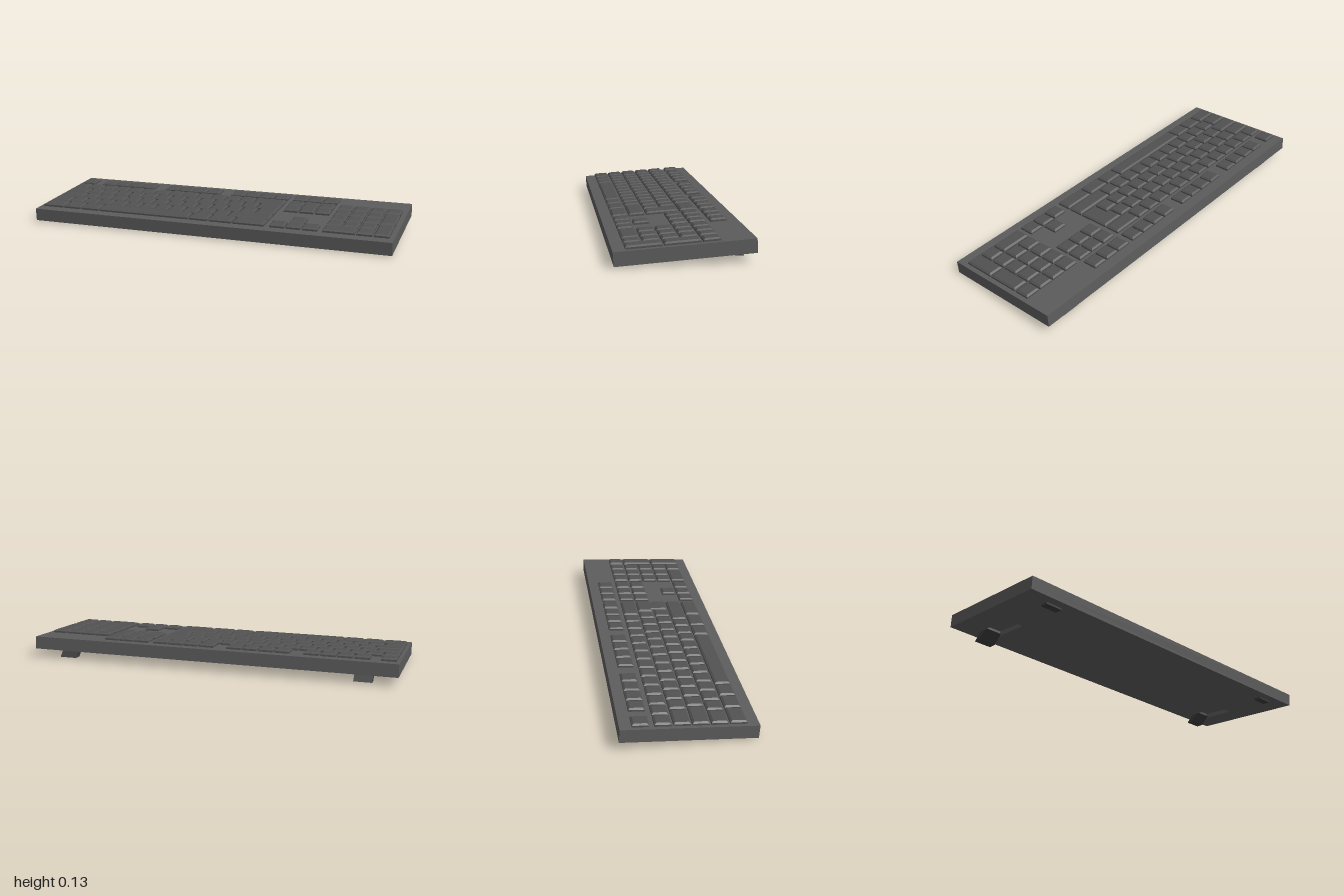
import * as THREE from 'three';

const material = (color) => new THREE.MeshStandardMaterial({ color, flatShading: true });
const caseMat = material(0x5c5c5c);
const keyMat = material(0x525252);
const footMat = material(0x3c3c3c);

const W = 2, D = 0.66, H = 0.068, POCKET = 0.025; // case size and depth of the foot pockets
const TILT = Math.atan(0.042 / 0.658);
const UNIT = 0.0875, LEFT = -0.985;               // key pitch and left edge of the key field
const ROW = 0.0895, BACK = -0.172, GAP = 0.0045;  // row pitch, back edge of the main rows, half gap

function add(parent, geometry, mat, name, x = 0, y = 0, z = 0) {
  const mesh = new THREE.Mesh(geometry, mat);
  mesh.name = name;
  mesh.position.set(x, y, z);
  parent.add(mesh);
}

// Closed outline on the ground plane, from [x, z] pairs
const outline = (points) => new THREE.Shape(points.map(([x, z]) => new THREE.Vector2(x, -z)));
const rect = (x0, z0, x1, z1) => [[x0, z0], [x0, z1], [x1, z1], [x1, z0]];

// Keycap with upright sides and a bevelled rim, sunk slightly into the case
function keycap(parent, points, name) {
  const geometry = new THREE.ExtrudeGeometry(outline(points), {
    depth: 0.013, bevelEnabled: true, bevelSegments: 1,
    bevelThickness: 0.007, bevelSize: 0.009, bevelOffset: -0.009,
  });
  geometry.rotateX(-Math.PI / 2);
  add(parent, geometry, keyMat, name, 0, 0.03, 0);
}

const colX = (u) => LEFT + u * UNIT;
const rowZ = (r) => BACK + r * ROW;

// Rectangular key: column and width in units, row and number of rows
function key(parent, u, w, r, rows, name) {
  keycap(parent, rect(colX(u) + GAP, rowZ(r) + GAP, colX(u + w) - GAP, rowZ(r + rows) - GAP), name);
}

// Run of neighbouring keys with the given widths
function keyRow(parent, u, r, widths, name) {
  for (const w of widths) {
    key(parent, u, w, r, 1, name);
    u += w;
  }
}

const ones = (n) => Array(n).fill(1);

export function createModel() {
  const model = new THREE.Group();
  model.name = 'keyboard';

  const body = new THREE.Group();
  body.name = 'tiltedBody';
  body.position.set(0, 0.062, 0.001);
  body.rotation.x = TILT;
  model.add(body);

  // Case: solid top over a bottom plate with two pockets for the folding feet
  add(body, new THREE.BoxGeometry(W, H - POCKET, D), caseMat, 'caseTop', 0, POCKET / 2, 0);
  const plate = outline(rect(-W / 2, -D / 2, W / 2, D / 2));
  for (const s of [-1, 1]) {
    plate.holes.push(outline(rect(s * 0.82 - 0.05, -0.22, s * 0.82 + 0.05, -0.03)));
  }
  const plateGeo = new THREE.ExtrudeGeometry(plate, { depth: POCKET, bevelEnabled: false });
  plateGeo.rotateX(-Math.PI / 2);
  add(body, plateGeo, caseMat, 'caseBottom', 0, -H / 2, 0);

  // Top row, set apart from the main rows
  const topRow = -1.17;
  key(body, 0, 1, topRow, 1, 'escapeKey');
  for (const u of [1.52, 6.28, 11]) keyRow(body, u, topRow, ones(4), 'topRowKey');
  keyRow(body, 15.25, topRow, ones(3), 'systemKey');

  // Main typing block
  keyRow(body, 0, 0, [...ones(13), 2], 'numberRowKey');
  keyRow(body, 0, 1, [1.5, ...ones(12)], 'upperRowKey');
  keyRow(body, 0, 2, [1.75, ...ones(12)], 'homeRowKey');
  keyRow(body, 0, 3, [1.3, ...ones(11), 2.7], 'lowerRowKey');
  keyRow(body, 0, 4, [1.5, 1.25, 1.25, 6.1, 1.3, 1.55, 2.05], 'bottomRowKey');

  // Stepped return key spanning two rows
  const x0 = colX(13.5) + GAP, x1 = colX(13.75) + GAP, x2 = colX(15) - GAP;
  const z0 = rowZ(1) + GAP, z1 = rowZ(2) - GAP, z2 = rowZ(3) - GAP;
  keycap(body, [[x0, z0], [x0, z1], [x1, z1], [x1, z2], [x2, z2], [x2, z0]], 'returnKey');

  // Navigation block and arrows
  for (const r of [0, 1]) keyRow(body, 15.25, r, ones(3), 'navigationKey');
  key(body, 16.25, 1, 3, 1, 'arrowKey');
  keyRow(body, 15.25, 4, ones(3), 'arrowKey');

  // Number pad
  const pad = 18.45;
  keyRow(body, pad, 0, ones(4), 'padKey');
  for (const r of [1, 2, 3]) keyRow(body, pad, r, ones(3), 'padKey');
  keyRow(body, pad, 4, [2, 1], 'padKey');
  for (const r of [1, 3]) key(body, pad + 3, 1, r, 2, 'tallPadKey');

  // Front pads and slanted folding feet at the back
  const footProfile = new THREE.Shape([
    [0.21, 0.049], [0.257, 0.003], [0.298, 0.003], [0.245, 0.05],
  ].map(([back, y]) => new THREE.Vector2(back, y)));
  for (const s of [-1, 1]) {
    add(body, new THREE.BoxGeometry(0.09, 0.0125, 0.044), footMat, 'frontPad', s * 0.82, -0.0375, 0.258);
    const foot = new THREE.ExtrudeGeometry(footProfile, { depth: 0.096, bevelEnabled: false });
    foot.translate(0, 0, -0.048);
    foot.rotateY(Math.PI / 2);
    add(model, foot, footMat, 'foldingFoot', s * 0.82, 0, 0);
  }
  return model;
}
